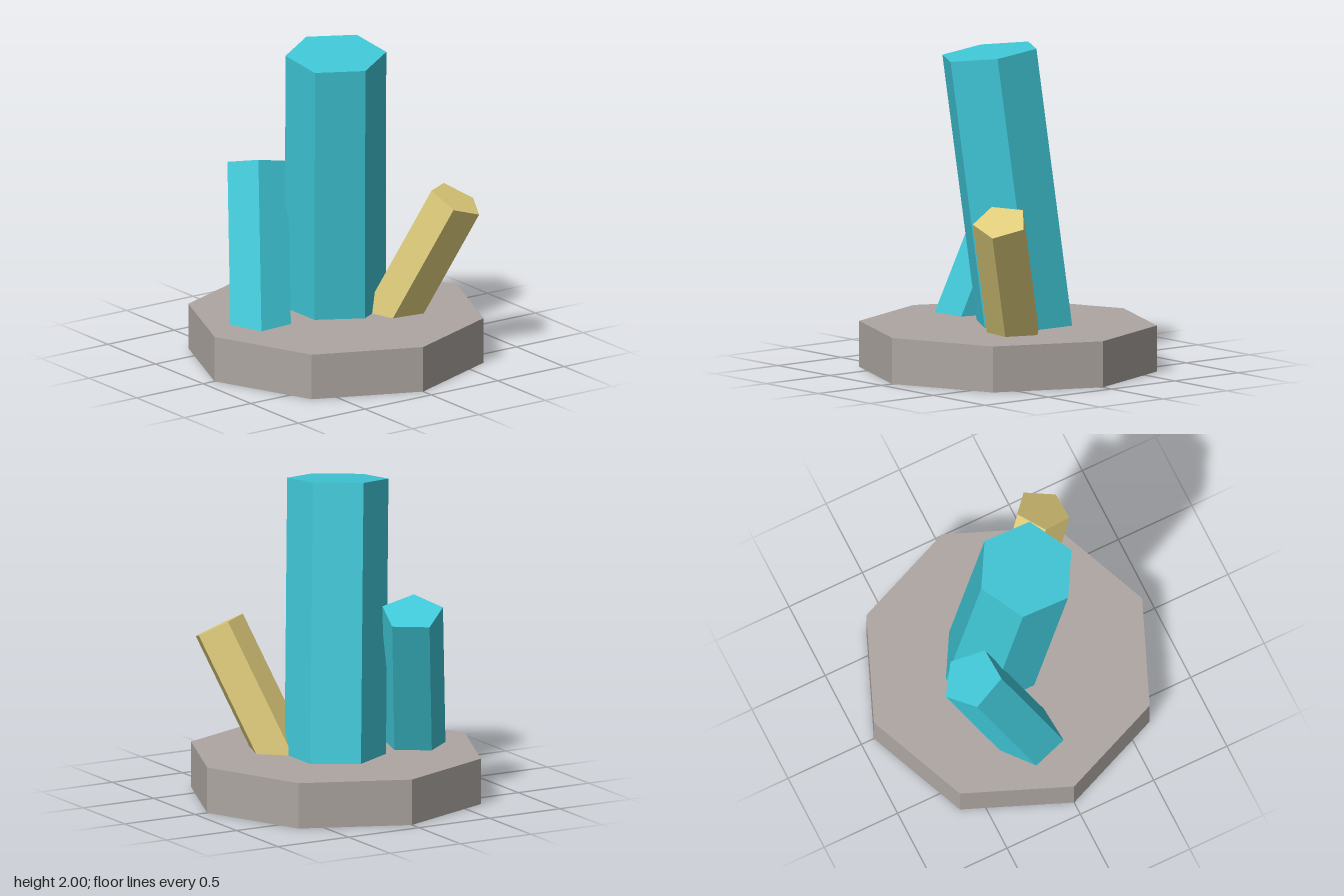
import * as THREE from 'three';

export function createModel() {
  const group = new THREE.Group();
  const material = (name, color) => {
    const m = new THREE.MeshStandardMaterial({ color, flatShading: true });
    m.name = name;
    return m;
  };
  const stone = material('stone grey', 0xada6a1);
  const teal = material('crystal teal', 0x40c8d8);
  const gold = material('crystal gold', 0xdecb7a);

  // Octagonal stone base
  const base = new THREE.Mesh(new THREE.CylinderGeometry(0.915, 0.915, 0.285, 8), stone);
  base.name = 'base';
  base.position.y = 0.1425;
  group.add(base);

  // A straight prism ending at the point top, leaning along lean, its foot sunk in the base
  const footY = 0.14;
  function addCrystal(name, mat, sides, radius, top, lean, turn) {
    const axis = new THREE.Vector3(...lean);
    const length = axis.length() * (top[1] - footY);
    axis.normalize();
    const geometry = new THREE.CylinderGeometry(radius, radius, length, sides, 1, false, THREE.MathUtils.degToRad(turn));
    geometry.translate(0, -length / 2, 0);
    const mesh = new THREE.Mesh(geometry, mat);
    mesh.name = name;
    mesh.quaternion.setFromUnitVectors(new THREE.Vector3(0, 1, 0), axis);
    mesh.position.set(...top);
    group.add(mesh);
  }

  addCrystal('mainCrystal', teal, 6, 0.31, [-0.067, 1.967, 0.092], [-0.0725, 1, 0.105], 0);
  addCrystal('backCrystal', teal, 5, 0.195, [-0.307, 1.194, -0.397], [0.212, 1, -0.328], 38.4);
  addCrystal('goldCrystal', gold, 5, 0.172, [0.544, 1.029, 0.503], [0.326, 1, 0.42], 32.1);

  return group;
}
